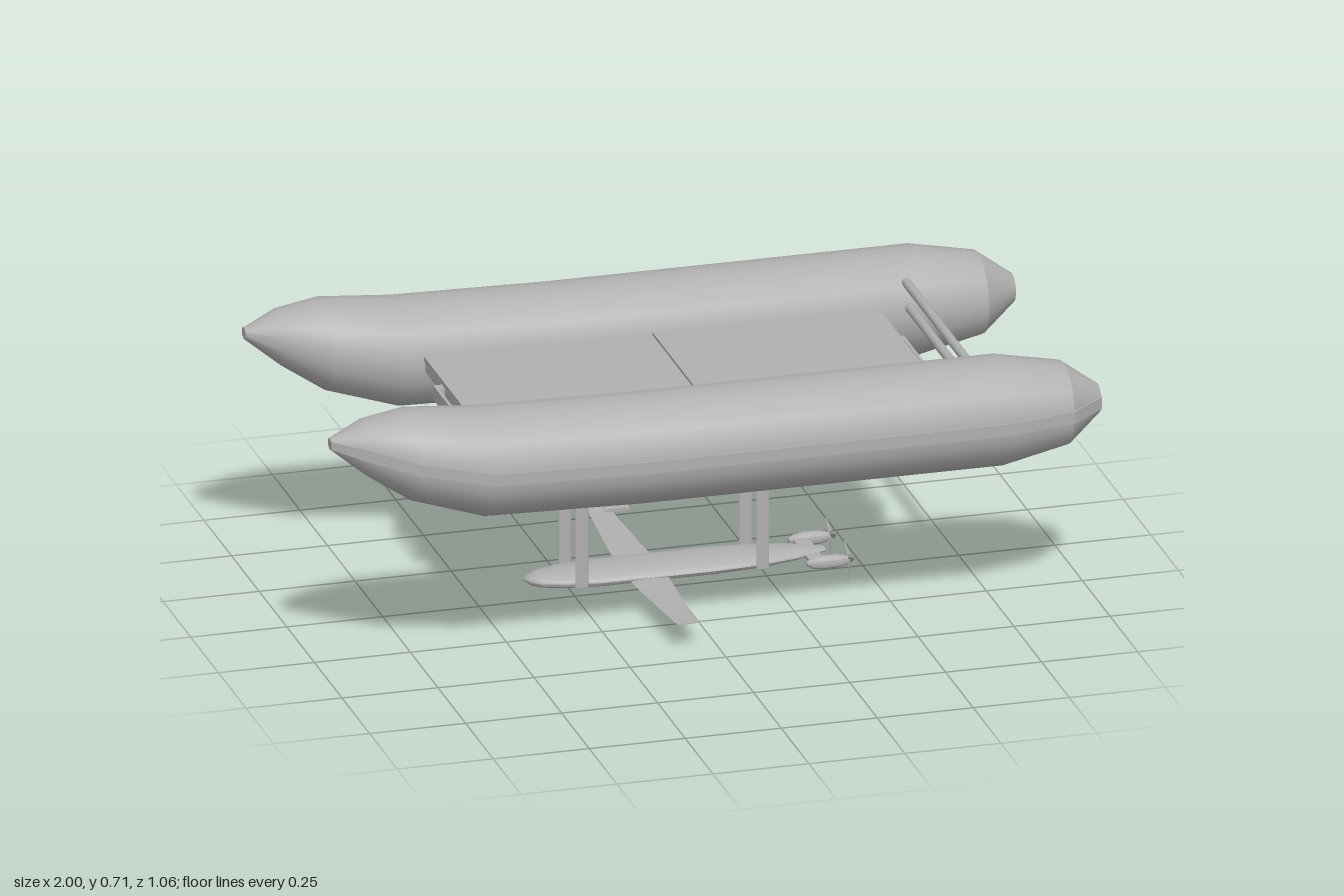
import * as THREE from 'three';
import { toCreasedNormals } from 'three/addons/utils/BufferGeometryUtils.js';

const grey = new THREE.MeshStandardMaterial({ color: 0xb0b0b0 });
grey.name = 'grey';

// Skin a list of closed rings of [x, y, z] points, with capped ends
function loft(rings, crease = 0.42) {
  const n = rings[0].length, pos = [];
  const tri = (...pts) => pts.forEach((p) => pos.push(...p));
  const mid = (r) => [0, 1, 2].map((k) => r.reduce((s, p) => s + p[k], 0) / n);
  for (let i = 0; i < rings.length - 1; i++) {
    for (let j = 0; j < n; j++) {
      const k = (j + 1) % n, a = rings[i], b = rings[i + 1];
      tri(a[j], b[j], a[k]);
      tri(b[j], b[k], a[k]);
    }
  }
  const first = rings[0], last = rings[rings.length - 1];
  for (let j = 0; j < n; j++) {
    const k = (j + 1) % n;
    tri(mid(first), first[j], first[k]);
    tri(mid(last), last[k], last[j]);
  }
  const g = new THREE.BufferGeometry();
  g.setAttribute('position', new THREE.Float32BufferAttribute(pos, 3));
  return toCreasedNormals(g, crease);
}

const angles = (n) => Array.from({ length: n }, (_, i) => (i / n) * Math.PI * 2);

// Ellipse across the x axis
const ringX = (x, y, z, ry, rz, n = 20) =>
  angles(n).map((a) => [x, y + ry * Math.sin(a), z + rz * Math.cos(a)]);

// Wing section across the z axis
const ringZ = (x, y, z, chord, thick, n = 12) =>
  angles(n).map((a) => [x + (chord / 2) * Math.cos(a), y - (thick / 2) * Math.sin(a), z]);

function add(parent, name, geometry, x = 0, y = 0, z = 0) {
  const m = new THREE.Mesh(geometry, grey);
  m.name = name;
  m.position.set(x, y, z);
  parent.add(m);
  return m;
}

const box = (parent, name, w, h, d, x, y, z) =>
  add(parent, name, new THREE.BoxGeometry(w, h, d), x, y, z);

// Hull stations: x, centre height, radius
const HULL = [
  [-1, 0.643, 0.015], [-0.91, 0.625, 0.073], [-0.8, 0.595, 0.118], [-0.61, 0.555, 0.14],
  [-0.2, 0.545, 0.141], [0.74, 0.544, 0.141], [0.91, 0.545, 0.107], [1, 0.548, 0.037],
];

function floatTube(side) {
  const g = new THREE.Group();
  g.name = side > 0 ? 'leftFloat' : 'rightFloat';
  const cz = side * 0.388;
  add(g, 'tube', loft(HULL.map(([x, y, r]) => ringX(x, y, cz, r, r))));
  // rubbing strake along the outer side
  add(g, 'strake', loft(HULL.map(([x, y, r]) => {
    const a = cz + side * (r + 0.003), b = cz + side * r * 0.8;
    const hi = Math.max(a, b), lo = Math.min(a, b), h = Math.min(0.016, r * 0.7);
    return [[x, y - h, hi], [x, y + h, hi], [x, y + h, lo], [x, y - h, lo]];
  })));
  return g;
}

function deck() {
  const g = new THREE.Group();
  g.name = 'deck';
  for (const x of [-0.275, 0.32]) box(g, 'deckPanel', 0.59, 0.012, 0.51, x, 0.579, 0);
  // frame under the panels
  for (const z of [-0.235, -0.078, 0.078, 0.235]) box(g, 'longBeam', 1.18, 0.028, 0.022, 0.0225, 0.559, z);
  for (const x of [-0.555, 0.0225, 0.6]) box(g, 'crossBeam', 0.025, 0.024, 0.51, x, 0.557, 0);
  // end handles
  for (const [edge, dir] of [[-0.567, -1], [0.613, 1]]) {
    box(g, 'handleBar', 0.008, 0.038, 0.2, edge + dir * 0.019, 0.549, 0);
    for (const z of [-0.086, 0.086]) box(g, 'handleEnd', 0.02, 0.038, 0.028, edge + dir * 0.01, 0.549, z);
  }
  // stern rails joining the floats
  for (const y of [0.634, 0.577]) {
    add(g, 'sternRail', new THREE.CylinderGeometry(0.012, 0.012, 0.57, 12), 0.695, y, 0).rotation.x = Math.PI / 2;
  }
  return g;
}

function thruster(z) {
  const g = new THREE.Group();
  g.name = 'thruster';
  const body = [[0.33, 0.006], [0.345, 0.014], [0.37, 0.018], [0.41, 0.017], [0.432, 0.012], [0.45, 0.003]];
  add(g, 'motor', loft(body.map(([x, r]) => ringX(x, 0, 0, r, r, 14)), 0.7));
  // three slim pitched blades
  for (let i = 0; i < 3; i++) {
    const pivot = new THREE.Group();
    pivot.name = 'blade';
    pivot.rotation.x = Math.PI + 0.1 + (i * Math.PI * 2) / 3;
    const blade = add(pivot, 'bladeSurface', new THREE.CylinderGeometry(0.002, 0.009, 0.045, 8), 0.44, 0.0325, 0);
    blade.scale.x = 0.25;
    blade.rotation.y = 0.5;
    g.add(pivot);
  }
  g.position.set(0, 0.056, z);
  return g;
}

function foilUnit() {
  const g = new THREE.Group();
  g.name = 'underwaterUnit';
  // flattened pod: x, half height, half width
  const pod = [
    [-0.38, 0.003, 0.006], [-0.37, 0.011, 0.025], [-0.345, 0.017, 0.045], [-0.29, 0.021, 0.063],
    [-0.2, 0.023, 0.075], [0.1, 0.023, 0.075], [0.22, 0.02, 0.067], [0.32, 0.014, 0.046], [0.4, 0.005, 0.015],
  ];
  add(g, 'pod', loft(pod.map(([x, h, w]) => ringX(x, 0.059, 0, h, w, 24)), 0.8));
  // main wing with gently raised tips
  const span = [-0.418, -0.3, -0.15, 0, 0.15, 0.3, 0.418];
  add(g, 'mainWing', loft(span.map((z) => {
    const t = Math.abs(z) / 0.418;
    return ringZ(-0.075, 0.054 + 0.014 * t * t, z, 0.11 - 0.055 * t, 0.008 - 0.005 * t);
  }), 0.8));
  // upper foil
  add(g, 'upperFoil', loft([-0.313, -0.17, 0.17, 0.313].map((z) =>
    ringZ(-0.23, 0.351, z, Math.abs(z) > 0.2 ? 0.07 : 0.08, 0.01)), 0.8));
  // streamlined struts
  for (const x of [-0.254, 0.217]) {
    for (const z of [-0.078, 0.078]) {
      const strut = add(g, 'strut', new THREE.CylinderGeometry(0.017, 0.017, 0.5, 14), x, 0.305, z);
      strut.scale.z = 0.2;
    }
  }
  // thrusters on a short cross arm
  box(g, 'thrusterArm', 0.04, 0.008, 0.16, 0.36, 0.057, 0);
  for (const z of [-0.083, 0.083]) g.add(thruster(z));
  return g;
}

export function createModel() {
  const model = new THREE.Group();
  model.name = 'catamaran';
  model.add(floatTube(1), floatTube(-1), deck(), foilUnit());
  return model;
}
